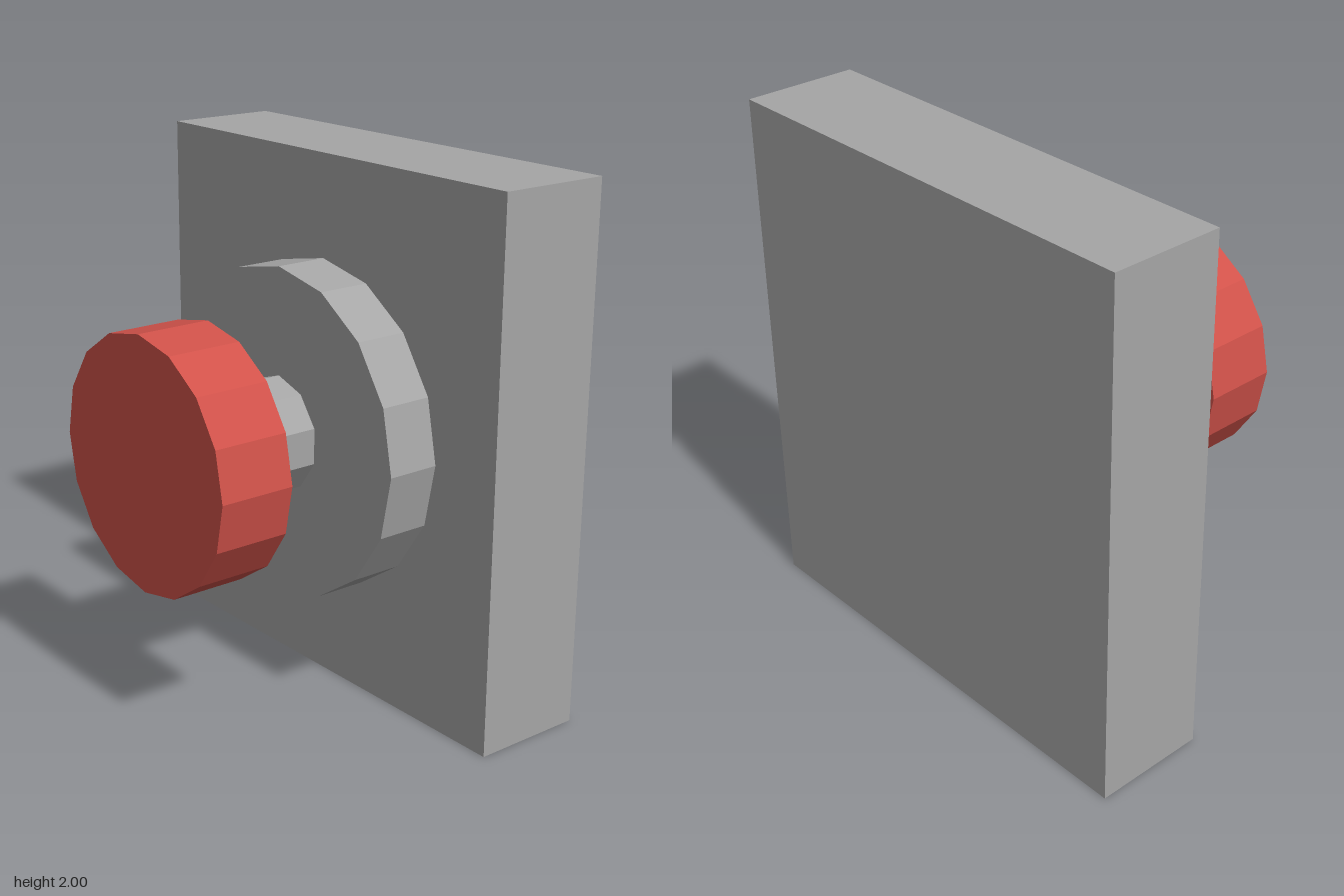
import * as THREE from 'three';

export function createModel() {
  const model = new THREE.Group();
  const grey = new THREE.MeshStandardMaterial({ color: 0xa6a6a6 });
  grey.name = 'grey metal';
  const red = new THREE.MeshStandardMaterial({ color: 0xd0524a });
  red.name = 'red cap';
  grey.flatShading = red.flatShading = true;

  const add = (name, geometry, material, y, z) => {
    const mesh = new THREE.Mesh(geometry, material);
    mesh.name = name;
    mesh.position.set(0, y, z);
    model.add(mesh);
  };

  // Faceted disc along z, from its back plane to its front plane
  const disc = (name, radius, sides, back, front, material) => {
    const geometry = new THREE.CylinderGeometry(radius, radius, front - back, sides);
    geometry.rotateX(Math.PI / 2);
    add(name, geometry, material, 1.003, (back + front) / 2);
  };

  // Mounting plate
  add('backPlate', new THREE.BoxGeometry(1.814, 2, 0.435), grey, 1, -0.4);

  // Push button assembly
  disc('collar', 0.617, 16, -0.1825, 0.02, grey);
  disc('stem', 0.215, 10, 0.02, 0.33, grey);
  disc('buttonCap', 0.472, 16, 0.33, 0.618, red);

  return model;
}
